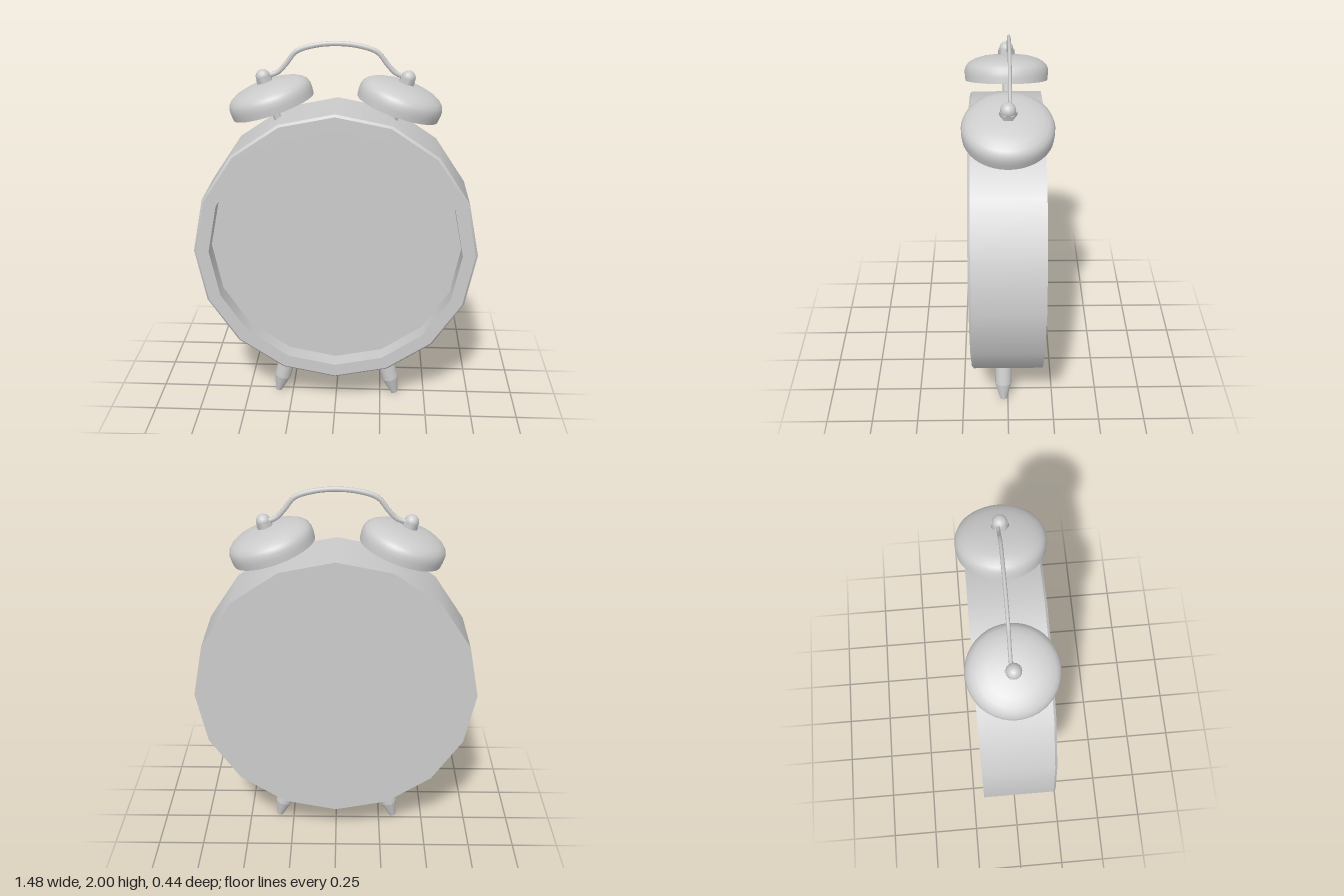
import * as THREE from 'three';
import { mergeGeometries } from 'three/addons/utils/BufferGeometryUtils.js';

const material = new THREE.MeshStandardMaterial({ color: 0xcccccc });
const openMaterial = new THREE.MeshStandardMaterial({ color: 0xcccccc, side: THREE.DoubleSide });

function mesh(name, geometry, parent, mat = material) {
  const m = new THREE.Mesh(geometry, mat);
  m.name = name;
  parent.add(m);
  return m;
}

const toPoints = (list) => list.map(([r, y]) => new THREE.Vector2(r, y));

// Lathe with a hard edge at every profile corner, smooth around the axis
function creasedLathe(profile, sides) {
  const bands = [];
  for (let i = 0; i < profile.length - 1; i++) {
    bands.push(new THREE.LatheGeometry(toPoints([profile[i], profile[i + 1]]), sides));
  }
  return mergeGeometries(bands);
}

// Gong on a tilted post, held by a hex nut and a ball; local origin is the gong's rim centre
function makeBell(side) {
  const bell = new THREE.Group();
  bell.name = side > 0 ? 'leftBell' : 'rightBell';
  const gong = toPoints([
    [0.216, 0], [0.219, 0.03], [0.219, 0.056], [0.211, 0.078], [0.194, 0.095],
    [0.165, 0.111], [0.12, 0.124], [0.06, 0.132], [0, 0.134],
  ]);
  mesh('gong', new THREE.LatheGeometry(gong, 40), bell, openMaterial);
  mesh('post', new THREE.CylinderGeometry(0.02, 0.02, 0.25, 12), bell).position.y = 0.005;
  mesh('nut', new THREE.CylinderGeometry(0.042, 0.042, 0.026, 6), bell).position.y = 0.143;
  mesh('nutBall', new THREE.SphereGeometry(0.037, 16, 12), bell).position.y = 0.162;
  bell.position.set(side * 0.3165 - 0.006, 1.667, 0);
  bell.rotation.z = -side * THREE.MathUtils.degToRad(18);
  return bell;
}

// Peg foot with a tapered tip; local origin is the tip
function makeFoot(side) {
  const profile = [[0, 0], [0.018, 0], [0.046, 0.1], [0.046, 0.3], [0, 0.3]];
  const foot = new THREE.Mesh(creasedLathe(profile, 16), material);
  foot.name = side > 0 ? 'leftFoot' : 'rightFoot';
  foot.position.set(side * 0.333, 0.005, 0.025);
  foot.rotation.z = side * THREE.MathUtils.degToRad(15);
  return foot;
}

export function createModel() {
  const clock = new THREE.Group();
  clock.name = 'alarmClock';

  // Sixteen-sided case: back, barrel, bevel, front rim, recess wall
  const caseProfile = [
    [0, -0.18], [0.742, -0.18], [0.742, 0.18], [0.73, 0.192], [0.663, 0.192], [0.663, 0.095],
  ];
  const body = mesh('case', creasedLathe(caseProfile, 16), clock);
  const face = mesh('dial', creasedLathe([[0.663, 0.095], [0, 0.095]], 16), clock);
  for (const part of [body, face]) {
    part.rotation.x = Math.PI / 2;
    part.position.y = 0.933;
  }

  for (const side of [-1, 1]) clock.add(makeBell(side), makeFoot(side));

  // Carrying handle: a slightly flattened rod from one ball to the other
  const half = [[0.36, 1.82], [0.3, 1.84], [0.255, 1.885], [0.205, 1.945], [0.11, 1.977]];
  const path = [
    ...half.map(([x, y]) => new THREE.Vector3(-x, y, 0)),
    new THREE.Vector3(0, 1.987, 0),
    ...half.map(([x, y]) => new THREE.Vector3(x, y, 0)).reverse(),
  ];
  const rod = new THREE.TubeGeometry(new THREE.CatmullRomCurve3(path), 48, 0.013, 10);
  const handle = mesh('handle', rod, clock);
  handle.scale.z = 0.7;
  handle.position.z = -0.01;

  return clock;
}
